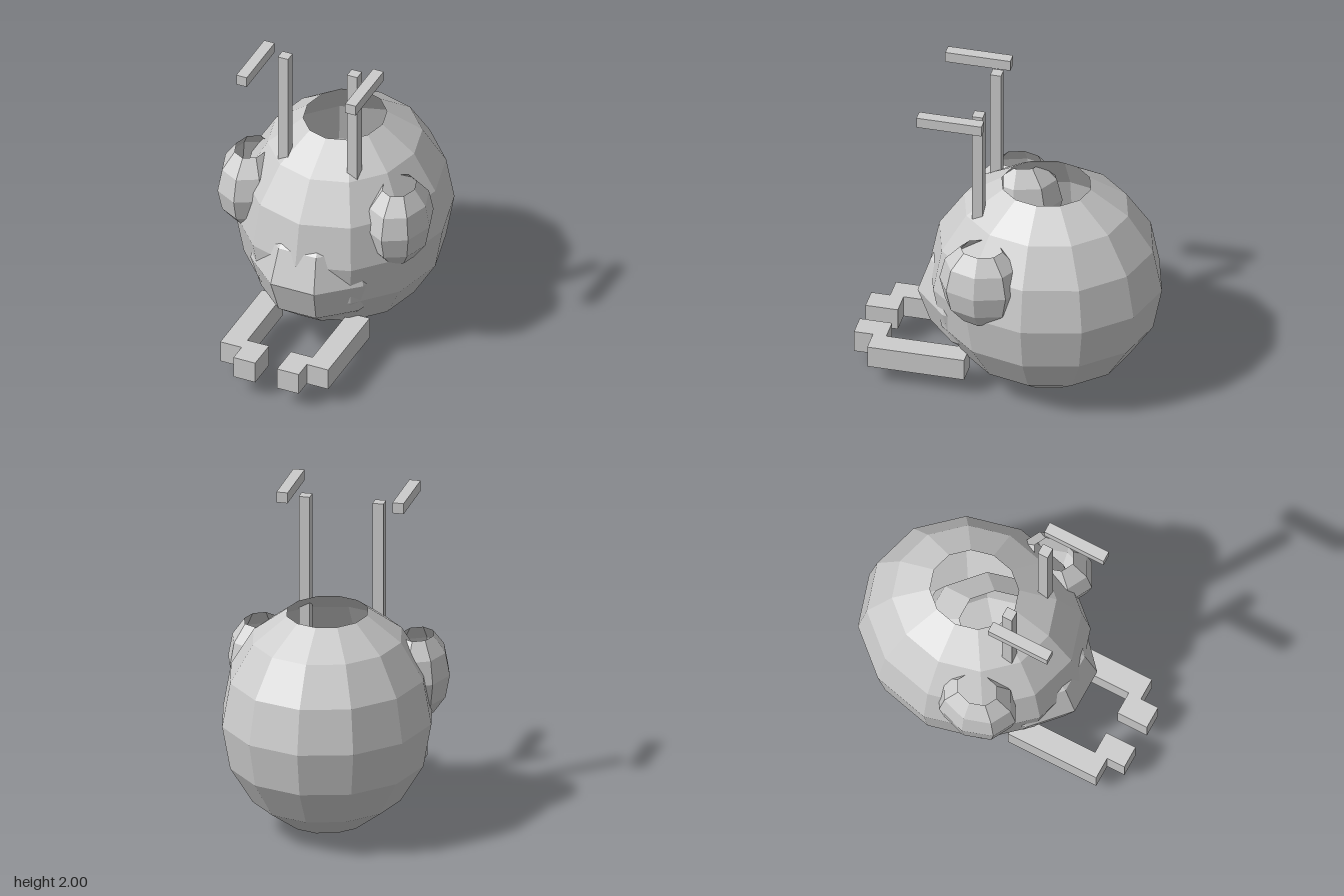
import * as THREE from 'three';

const grey = new THREE.MeshStandardMaterial({ color: 0xcccccc, side: THREE.DoubleSide, flatShading: true });
grey.name = 'plain grey';

// Faceted ellipsoid shell with its top cap left open
function openShell(name, around, rings, radii, position) {
  const step = Math.PI / rings;
  const geometry = new THREE.SphereGeometry(1, around, rings - 1, 0, Math.PI * 2, step, Math.PI - step);
  geometry.scale(...radii);
  const mesh = new THREE.Mesh(geometry, grey);
  mesh.name = name;
  mesh.position.set(...position);
  return mesh;
}

// Box given by its lower and upper limits on each axis
function bar(name, [x0, x1], [y0, y1], [z0, z1]) {
  const mesh = new THREE.Mesh(new THREE.BoxGeometry(x1 - x0, y1 - y0, z1 - z0), grey);
  mesh.name = name;
  mesh.position.set((x0 + x1) / 2, (y0 + y1) / 2, (z0 + z1) / 2);
  return mesh;
}

export function createModel() {
  const model = new THREE.Group();
  model.name = 'roundCreature';

  // Round body and the muzzle pushed into its front
  model.add(openShell('body', 12, 8, [0.645, 0.715, 0.715], [0, 0.72, -0.21]));
  model.add(openShell('muzzle', 10, 6, [0.46, 0.44, 0.578], [0, 0.58, 0]));

  for (const [side, s] of [['left', 1], ['right', -1]]) {
    const span = (a, b) => (s > 0 ? [a, b] : [-b, -a]);

    // Bulging eye
    model.add(openShell(side + 'Eye', 8, 6, [0.2, 0.283, 0.26], [s * 0.487, 0.935, 0.07]));

    // Antenna: upright stalk and floating tip bar
    const antenna = new THREE.Group();
    antenna.name = side + 'Antenna';
    antenna.add(bar('stalk', span(0.195, 0.262), [1.12, 1.975], [0.118, 0.185]));
    antenna.add(bar('tip', span(0.325, 0.394), [1.933, 2], [0.093, 0.495]));
    model.add(antenna);

    // Arm: long forward bar and inward hand block
    const arm = new THREE.Group();
    arm.name = side + 'Arm';
    arm.add(bar('forearm', span(0.215, 0.356), [0.12, 0.26], [0.21, 0.808]));
    arm.add(bar('hand', span(0.072, 0.215), [0.12, 0.26], [0.725, 0.925]));
    model.add(arm);
  }
  return model;
}
